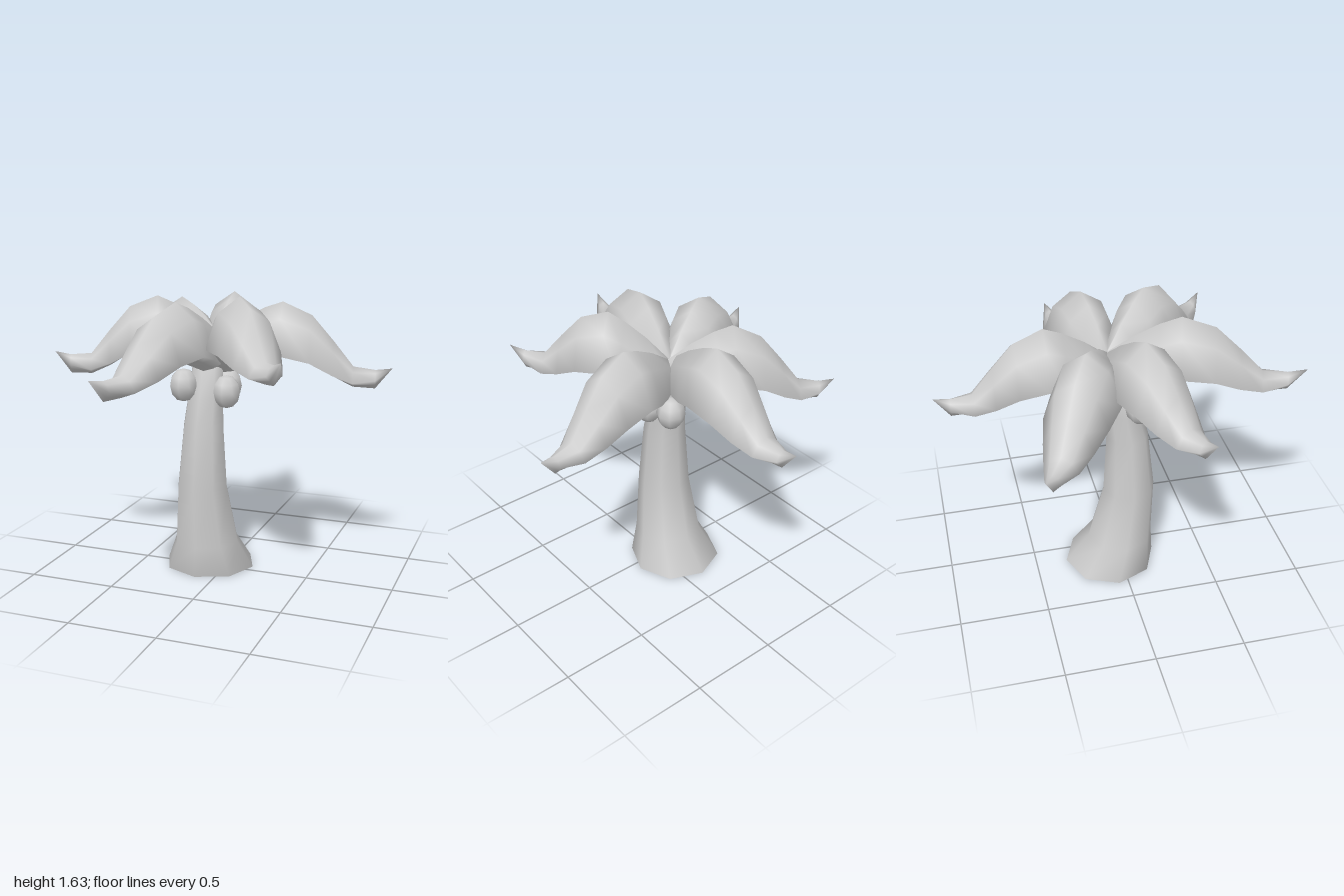
import * as THREE from 'three';

const material = new THREE.MeshStandardMaterial({ color: 0xcccccc, side: THREE.DoubleSide });

// Smooth closed skin through rings of points, with a point closing each end
function loft(rings, start, end) {
  const n = rings[0].length;
  const pos = [...rings.flat(), start, end].flat();
  const s = rings.length * n, e = s + 1, last = s - n, idx = [];
  for (let i = 0; i < n; i++) {
    const k = (i + 1) % n;
    idx.push(s, k, i, e, last + i, last + k);
    for (let j = 0; j < rings.length - 1; j++) {
      const a = j * n + i, b = j * n + k;
      idx.push(a, b, b + n, a, b + n, a + n);
    }
  }
  const g = new THREE.BufferGeometry();
  g.setAttribute('position', new THREE.Float32BufferAttribute(pos, 3));
  g.setIndex(idx);
  g.computeVertexNormals();
  return g;
}

function add(parent, name, geometry) {
  const mesh = new THREE.Mesh(geometry, material);
  mesh.name = name;
  parent.add(mesh);
  return mesh;
}

// Trunk sections: height, centre x, centre z, half width, half depth
// (the first is the inner edge of the slightly hollow foot)
const TRUNK = [
  [0.02, -0.112, -0.05, 0.225, 0.222],
  [0, -0.112, -0.055, 0.268, 0.265],
  [0.17, -0.108, 0.01, 0.193, 0.192],
  [0.51, -0.115, 0.06, 0.15, 0.15],
  [0.87, -0.11, 0.05, 0.12, 0.12],
  [1.04, -0.107, 0.022, 0.105, 0.1],
  [1.24, -0.1, 0.0, 0.09, 0.085],
];

// Leaf sections: distance out, half width, ridge height, rim height, underside height
const LEAF = [
  [0.0, 0.05, 1.38, 1.22, 1.16],
  [0.13, 0.115, 1.48, 1.24, 1.185],
  [0.25, 0.175, 1.55, 1.285, 1.235],
  [0.35, 0.195, 1.59, 1.315, 1.28],
  [0.51, 0.178, 1.525, 1.285, 1.265],
  [0.63, 0.138, 1.39, 1.22, 1.19],
  [0.74, 0.095, 1.255, 1.175, 1.14],
  [0.86, 0.044, 1.245, 1.19, 1.14],
];
const LEAF_LENGTH = 0.95, LEAF_TIP = 1.26;

// Leaves: tip x, y, z and root x, z
const LEAVES = [
  [-0.085, 1.24, -1.0, -0.085, -0.05],
  [0.905, 1.215, -0.23, -0.05, -0.05],
  [0.525, 1.375, 0.635, -0.055, -0.05],
  [-0.335, 1.295, 0.995, -0.055, -0.06],
  [-0.905, 1.29, 0.305, -0.06, -0.055],
  [-0.865, 1.18, -0.535, -0.05, -0.05],
];

// Domed leaf running along +x, arched and curling up at the tip
function leafGeometry(length, tipY) {
  const tilt = (x) => ((tipY - LEAF_TIP) * x) / LEAF_LENGTH;
  const stretch = length / LEAF_LENGTH;
  const rings = LEAF.map(([x, w, top, rim, under]) => {
    const shoulder = rim + (top - rim) * 0.7;
    const belly = (rim + under) / 2;
    const outline = [
      [-w, rim], [-0.62 * w, shoulder], [0, top], [0.62 * w, shoulder],
      [w, rim], [0.5 * w, belly], [0, under], [-0.5 * w, belly],
    ];
    return outline.map(([z, y]) => [x * stretch, y + tilt(x), z]);
  });
  return loft(rings, [-0.02, 1.28, 0], [length, tipY, 0]);
}

export function createModel() {
  const model = new THREE.Group();
  model.name = 'palmTree';

  // Flared, leaning eight-sided trunk
  const rings = TRUNK.map(([y, cx, cz, rx, rz]) =>
    Array.from({ length: 8 }, (_, i) => {
      const a = (i * Math.PI) / 4;
      return [cx + rx * Math.cos(a), y, cz - rz * Math.sin(a)];
    }));
  add(model, 'trunk', loft(rings, [-0.112, 0.04, -0.05], [-0.1, 1.26, 0]));

  // Ring of six leaves
  const leaves = new THREE.Group();
  leaves.name = 'leaves';
  model.add(leaves);
  for (const [x, y, z, rootX, rootZ] of LEAVES) {
    const dx = x - rootX, dz = z - rootZ;
    const leaf = add(leaves, 'leaf', leafGeometry(Math.hypot(dx, dz), y));
    leaf.position.set(rootX, 0, rootZ);
    leaf.rotation.y = Math.atan2(-dz, dx);
  }

  // Three coconuts under the crown
  const nut = new THREE.SphereGeometry(1, 8, 6);
  for (const p of [[-0.212, 1.105, 0.095], [0.02, 1.07, 0.03], [-0.02, 1.08, -0.115]]) {
    const coconut = add(model, 'coconut', nut);
    coconut.scale.set(0.082, 0.095, 0.082);
    coconut.position.set(...p);
  }
  return model;
}
